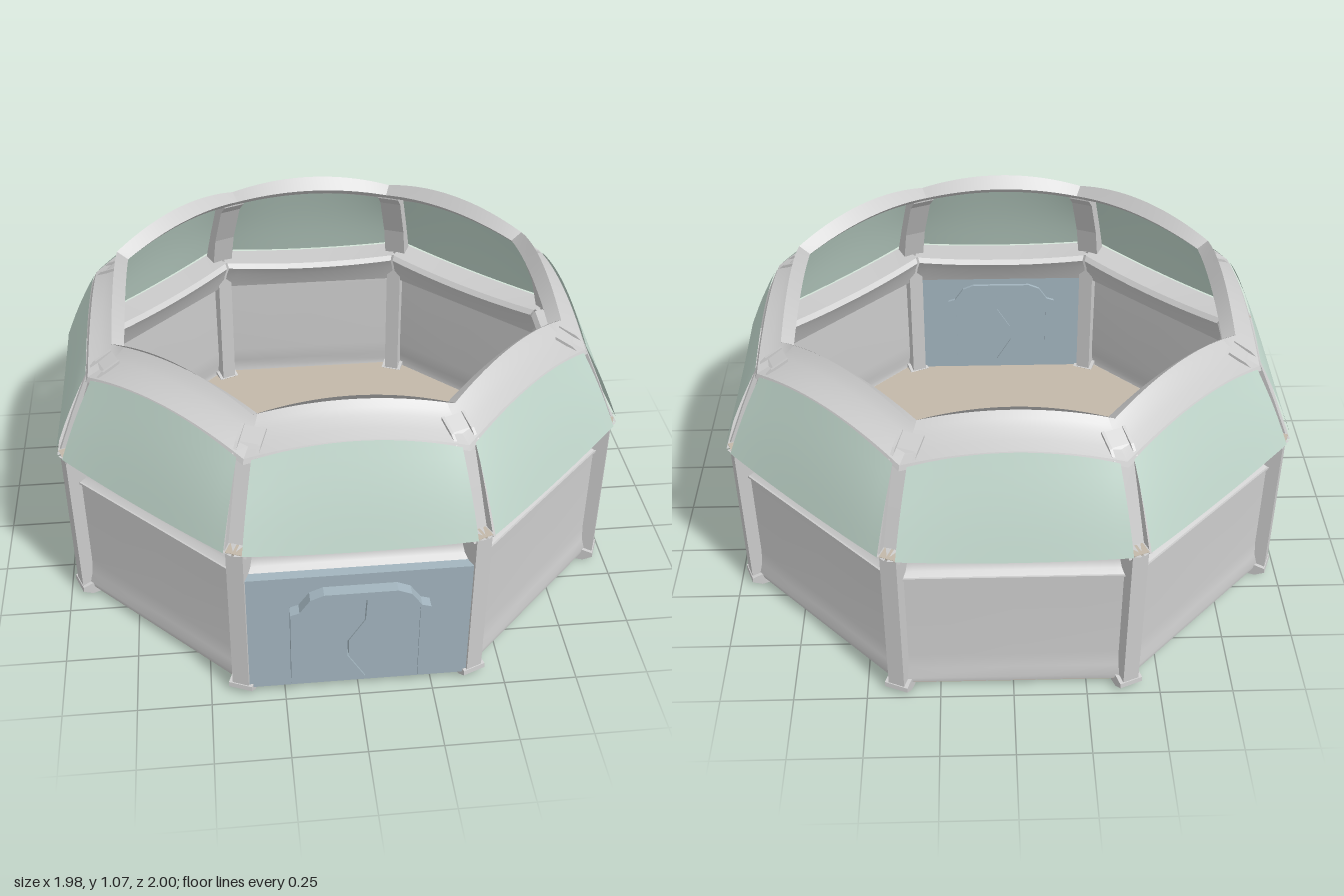
import * as THREE from 'three';
import { toCreasedNormals } from 'three/addons/utils/BufferGeometryUtils.js';

const T = Math.tan(Math.PI / 8), C = Math.cos(Math.PI / 8);
const mat = (color) => new THREE.MeshStandardMaterial({ color, side: THREE.DoubleSide });
const grey = mat(0xcccccc), glass = mat(0xc0d6cb), tan = mat(0xc2b8a9), blue = mat(0xa2b4be);

// Grid surface: f(u, v) gives a point, u in -1..1 along a side, v in 0..1 across it
function surface(f, nu, nv) {
  const pos = [], idx = [];
  for (let j = 0; j <= nv; j++) {
    for (let i = 0; i <= nu; i++) pos.push(...f(-1 + 2 * i / nu, j / nv));
  }
  for (let j = 0; j < nv; j++) {
    for (let i = 0; i < nu; i++) {
      const a = j * (nu + 1) + i, b = a + nu + 1;
      idx.push(a, a + 1, b + 1, a, b + 1, b);
    }
  }
  const g = new THREE.BufferGeometry();
  g.setAttribute('position', new THREE.Float32BufferAttribute(pos, 3));
  g.setIndex(idx);
  return toCreasedNormals(g, 0.6);
}

// Profile of [apothem, height, arch] swept along one side; arch lifts the middle
function sweep(profile, gap = 0, nu = 16) {
  const n = profile.length - 1;
  return surface((u, v) => {
    const [r, y, arch = 0] = profile[Math.round(v * n)];
    return [u * (r * T - gap), y + arch * (1 - u * u), r];
  }, nu, n);
}

function extrude(points, depth, z = 0) {
  const shape = new THREE.Shape(points.map(([x, y]) => new THREE.Vector2(x, y)));
  const g = new THREE.ExtrudeGeometry(shape, { depth, bevelEnabled: false });
  return g.translate(0, 0, z);
}

function add(parent, name, geometry, material, angle = 0) {
  const m = new THREE.Mesh(geometry, material);
  m.name = name;
  m.rotation.y = angle;
  parent.add(m);
}

export function createModel() {
  const model = new THREE.Group();
  model.name = 'octagonalDome';
  const body = new THREE.Group();
  body.name = 'body';
  body.position.z = -0.012;
  model.add(body);

  // Side geometries, bottom to top
  const wall = sweep([[0.9, 0.03], [0.945, 0.03], [0.948, 0.05], [0.938, 0.09], [0.934, 0.15], [0.934, 0.5],
    [0.942, 0.505], [0.942, 0.513], [0.91, 0.515]], 0.02, 2);
  const header = sweep([[0.9, 0.5], [0.938, 0.512], [0.918, 0.525], [0.905, 0.55, -0.005], [0.9, 0.59, -0.012],
    [0.91, 0.615, -0.012], [0.982, 0.63, -0.012], [0.86, 0.636, -0.016], [0.845, 0.618, -0.016], [0.87, 0.575, -0.01], [0.9, 0.5]], 0.005);
  const windowPane = surface((u, v) => {
    const r = 0.988 - 0.128 * v + 0.006 * Math.sin(Math.PI * v);
    const y = 0.632 + 0.28 * v + (-0.012 + 0.062 * v) * (1 - u * u);
    return [u * (r * T - 0.034 + 0.008 * v), y, r];
  }, 20, 6);
  const roof = sweep([[0.86, 0.895, 0.05], [0.852, 0.912, 0.048], [0.81, 0.93, 0.042], [0.77, 0.952, 0.038],
    [0.745, 0.97, 0.036], [0.725, 0.99, 0.035]], 0, 24);
  const lip = sweep([[0.725, 0.99, 0.035], [0.765, 1.015, 0.052]], 0, 24);

  // Corner geometries, drawn as radius and height; the rib is a channel between two panes
  const post = extrude([[0.96, 0.03], [1.045, 0.03], [1.045, 0.625], [0.95, 0.625]], 0.058, -0.029);
  const foot = extrude([[0.955, 0.035], [0.985, 0], [1.015, 0], [1.05, 0.022], [1.048, 0.04], [1.0, 0.05]], 0.084, -0.042);
  const ribInside = [[0.82, 0.955], [0.86, 0.915], [0.935, 0.75], [0.97, 0.615]];
  const rib = extrude([[1.01, 0.615], [0.955, 0.765], [0.9, 0.91], [0.87, 0.937], [0.82, 0.965], ...ribInside], 0.08, -0.04);
  const ribFlange = [[1.045, 0.615], [0.981, 0.765], [0.911, 0.915], [0.88, 0.942], [0.82, 0.97], ...ribInside];
  const cap = new THREE.BoxGeometry(0.05, 0.006, 0.055).translate(1.025, 0.628, 0);

  for (let k = 0; k < 8; k++) {
    const a = k * Math.PI / 4, c = a + Math.PI / 8;
    if (k > 0) add(body, 'wallPanel', wall, grey, a);
    add(body, 'wallHeader', header, grey, a);
    add(body, 'windowPane', windowPane, glass, a);
    add(body, 'roofRing', roof, grey, a);
    add(body, 'roofLip', lip, grey, a);
    add(body, 'cornerPost', post, grey, c);
    add(body, 'cornerFoot', foot, grey, c);
    add(body, 'cornerRib', rib, grey, c);
    for (const z of [-0.042, 0.032]) add(body, 'ribFlange', extrude(ribFlange, 0.01, z), grey, c);
    add(body, 'postCap', cap, tan, c);
  }

  // Floor with a low raised octagonal pad
  const floorProfile = [[0.94, 0.022], [0.94, 0.034], [0.385, 0.034], [0.347, 0.05], [0.341, 0.053], [0.335, 0.05], [0, 0.05]]
    .map(([r, y]) => new THREE.Vector2(r / C, y));
  const floor = new THREE.LatheGeometry(floorProfile, 8, Math.PI / 8);
  add(body, 'floor', toCreasedNormals(floor, 0.1), tan);

  // Front door: plate, arched frame and two leaves split by a bent seam
  const door = new THREE.Group();
  door.name = 'door';
  body.add(door);
  add(door, 'doorPlate', new THREE.BoxGeometry(0.74, 0.485, 0.06).translate(0, 0.27, 0.942), blue);
  const mirror = (half) => [...half, ...half.map(([x, y]) => [-x, y]).reverse()];
  const arch = mirror([[0.23, 0.075], [0.23, 0.386], [0.2, 0.396], [0.165, 0.447], [0.12, 0.466]]);
  const opening = mirror([[0.195, 0.075], [0.195, 0.386], [0.145, 0.434]]);
  add(door, 'doorFrame', extrude([...arch, ...opening.reverse()], 0.112, 0.9), blue);
  const seam = [[0.02, 0.078], [-0.04, 0.18], [-0.04, 0.25], [0.015, 0.34], [0.02, 0.434]];
  const g = 0.002;
  const rightLeaf = [[-0.195, 0.078], ...seam.map(([x, y]) => [x - g, y]), [-0.145, 0.434], [-0.195, 0.386]];
  const leftLeaf = [[0.195, 0.078], [0.195, 0.386], [0.145, 0.434], ...seam.map(([x, y]) => [x + g, y]).reverse()];
  add(door, 'rightDoorLeaf', extrude(rightLeaf, 0.1, 0.905), blue);
  add(door, 'leftDoorLeaf', extrude(leftLeaf, 0.1, 0.905), blue);

  return model;
}
